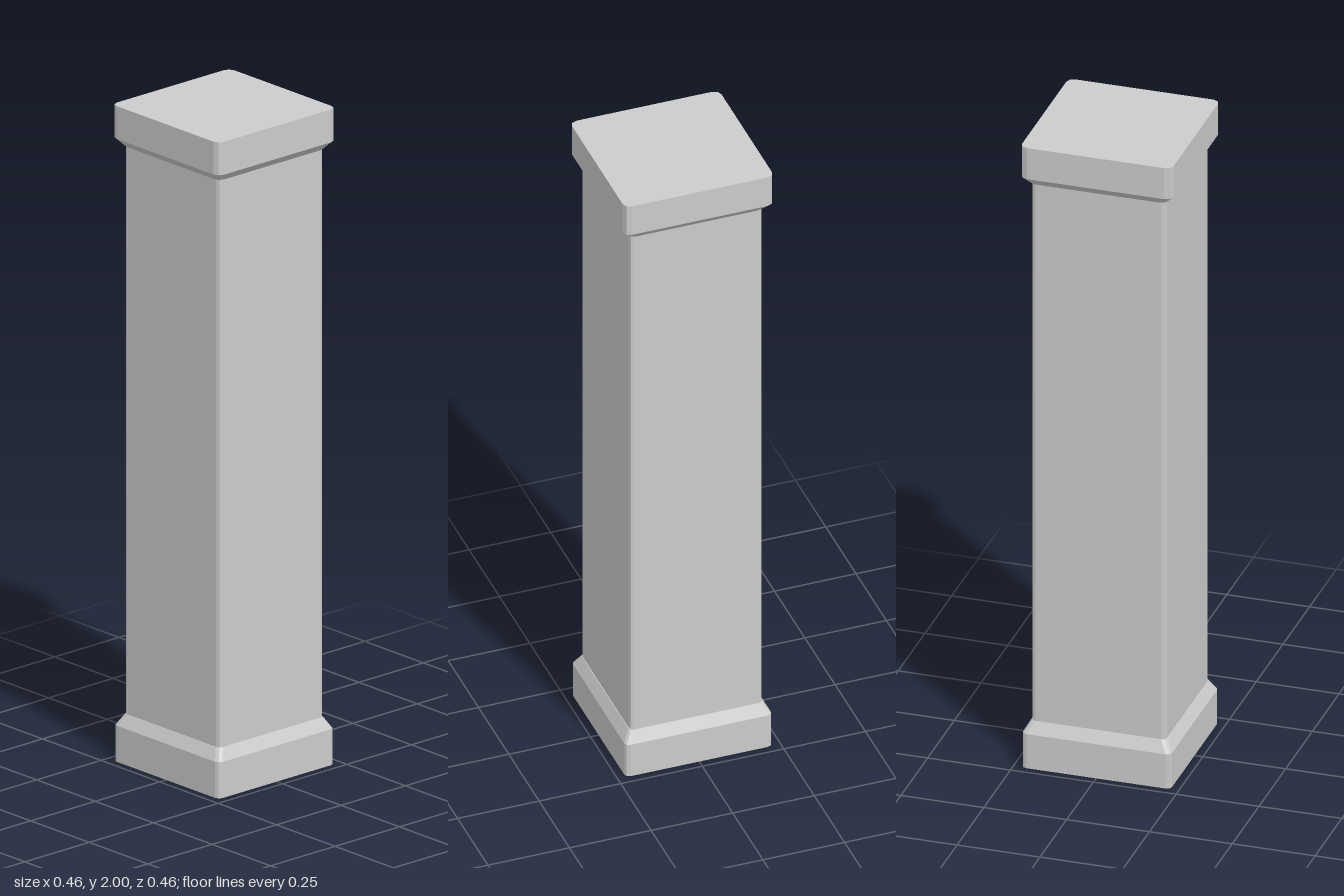
import * as THREE from 'three';

const material = new THREE.MeshStandardMaterial({ color: 0xcccccc, flatShading: true });

// Square ring with corners eased in two facets; h = half width, c = corner size
function ring(y, h, c) {
  const corner = [[h, h - c], [h - 0.28 * c, h - 0.28 * c], [h - c, h]];
  const points = [];
  for (let i = 0; i < 4; i++) {
    const cos = Math.round(Math.cos(i * Math.PI / 2));
    const sin = Math.round(Math.sin(i * Math.PI / 2));
    for (const [x, z] of corner) points.push(new THREE.Vector3(x * cos - z * sin, y, x * sin + z * cos));
  }
  return points;
}

// Closed solid through a stack of [y, half width, corner size] sections, bottom to top
function loft(name, sections) {
  const rings = sections.map(s => ring(...s));
  const n = rings[0].length;
  const triangles = [];
  for (let r = 0; r < rings.length - 1; r++) {
    for (let i = 0; i < n; i++) {
      const j = (i + 1) % n;
      const [a, b, c, d] = [rings[r][i], rings[r][j], rings[r + 1][j], rings[r + 1][i]];
      triangles.push(a, c, b, a, d, c);
    }
  }
  const bottom = rings[0], top = rings[rings.length - 1];
  for (let i = 1; i < n - 1; i++) {
    triangles.push(bottom[0], bottom[i], bottom[i + 1]);
    triangles.push(top[0], top[i + 1], top[i]);
  }
  const geometry = new THREE.BufferGeometry().setFromPoints(triangles);
  geometry.computeVertexNormals();
  const mesh = new THREE.Mesh(geometry, material);
  mesh.name = name;
  return mesh;
}

export function createModel() {
  const group = new THREE.Group();
  group.name = 'squarePillar';
  group.add(
    // Plinth with a sloped upper edge
    loft('base', [[0, 0.225, 0.015], [0.11, 0.225, 0.015], [0.145, 0.205, 0.015]]),
    // Plain square column
    loft('shaft', [[0.14, 0.203, 0.013], [1.88, 0.203, 0.013]]),
    // Flat-topped capital with a sloped underside
    loft('capital', [[1.875, 0.207, 0.02], [1.9, 0.229, 0.022], [2, 0.229, 0.022]])
  );
  return group;
}
